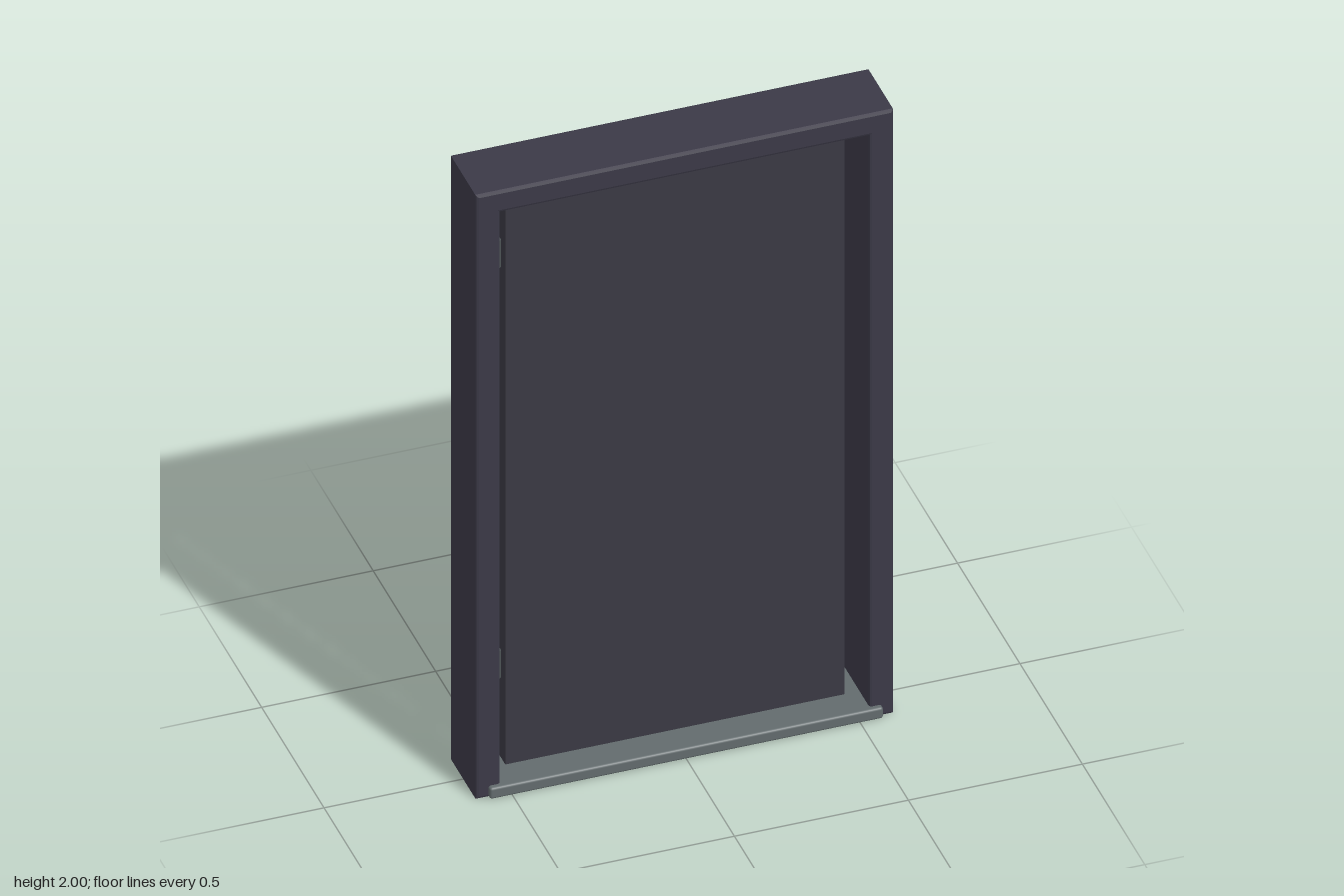
import * as THREE from 'three';
import { RoundedBoxGeometry } from 'three/addons/geometries/RoundedBoxGeometry.js';

export function createModel() {
  const mat = (name, color) => {
    const m = new THREE.MeshStandardMaterial({ color });
    m.name = name;
    return m;
  };
  const framePaint = mat('frame paint', 0x3b3947);
  const doorPaint = mat('door paint', 0x3a3943);
  const paleMetal = mat('pale metal', 0x626b6d);
  const darkMetal = mat('dark metal', 0x4c5355);

  const model = new THREE.Group();
  model.name = 'framedDoor';
  const add = (name, geometry, material, x = 0, y = 0, z = 0) => {
    const mesh = new THREE.Mesh(geometry, material);
    mesh.name = name;
    mesh.position.set(x, y, z);
    model.add(mesh);
    return mesh;
  };
  // Rounded block given by its lower and upper limits
  const block = (name, material, [x0, x1], [y0, y1], [z0, z1], r) =>
    add(name, new RoundedBoxGeometry(x1 - x0, y1 - y0, z1 - z0, 2, r), material,
      (x0 + x1) / 2, (y0 + y1) / 2, (z0 + z1) / 2);

  // Frame: two posts and a head in one bevelled piece, open at the bottom
  const outline = new THREE.Shape([
    [-0.6, 0], [-0.53, 0], [-0.53, 1.93], [0.53, 1.93],
    [0.53, 0], [0.6, 0], [0.6, 2], [-0.6, 2],
  ].map(([x, y]) => new THREE.Vector2(x, y)));
  const bevel = 0.008, depth = 0.208;
  const frame = new THREE.ExtrudeGeometry(outline, {
    depth: depth - 2 * bevel, bevelThickness: bevel, bevelSize: bevel,
    bevelOffset: -bevel, bevelSegments: 2,
  });
  frame.translate(0, 0, bevel - depth / 2);
  add('frame', frame, framePaint);

  // Sill across the bottom, standing proud of the frame on both sides
  block('sill', paleMetal, [-0.565, 0.565], [0.002, 0.038], [-0.12, 0.12], 0.007);

  // Door leaf with a raised panel on its back
  block('doorLeaf', doorPaint, [-0.488, 0.488], [0.003, 1.94], [-0.023, 0.025], 0.003);
  block('backPanel', paleMetal, [-0.43, 0.43], [0.095, 1.89], [-0.046, -0.02], 0.003);

  // Upright pull handle on the back panel
  block('handle', darkMetal, [0.379, 0.405], [0.715, 0.945], [-0.076, -0.04], 0.007);

  // Barrel hinges
  for (const y of [0.35, 1.71]) {
    add('hinge', new THREE.CylinderGeometry(0.018, 0.018, 0.09, 16), darkMetal, -0.502, y, -0.02);
  }
  return model;
}
